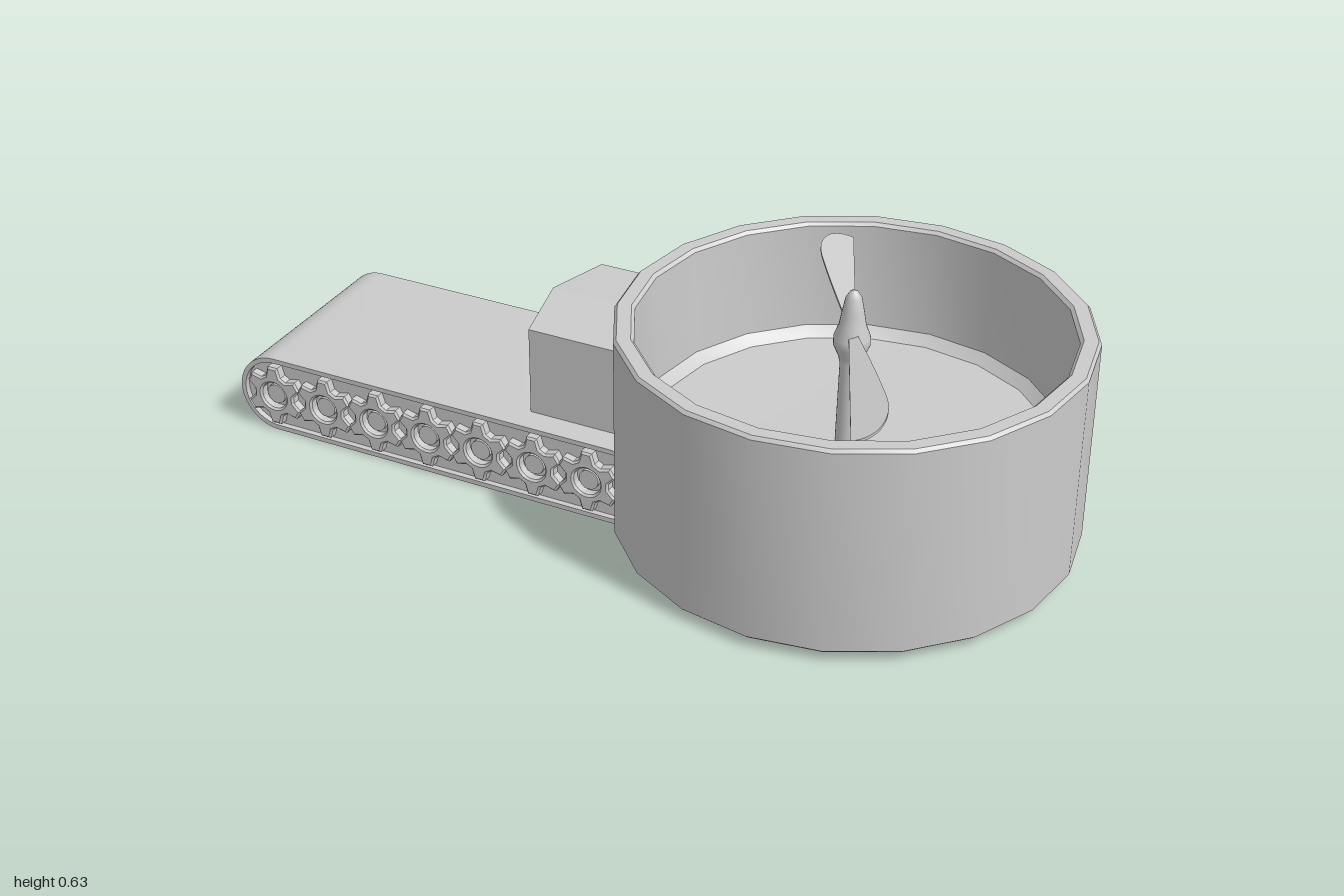
import * as THREE from 'three';
import { toCreasedNormals } from 'three/addons/utils/BufferGeometryUtils.js';

const grey = new THREE.MeshStandardMaterial({ color: 0xcccccc });
const V2 = (x, y) => new THREE.Vector2(x, y);

function add(parent, name, geometry, x = 0, y = 0, z = 0) {
  const mesh = new THREE.Mesh(geometry, grey);
  mesh.name = name;
  mesh.position.set(x, y, z);
  parent.add(mesh);
  return mesh;
}

// Extrusion centred on z
function slab(shape, depth, bevel = 0) {
  const g = new THREE.ExtrudeGeometry(shape, {
    depth: depth - 2 * bevel, curveSegments: 14, bevelEnabled: bevel > 0,
    bevelSize: bevel, bevelThickness: bevel, bevelOffset: -bevel, bevelSegments: 1,
  });
  g.translate(0, 0, -depth / 2 + bevel);
  return toCreasedNormals(g, 0.6);
}

// Long outline with round ends
function stadium(length, r, target = new THREE.Shape()) {
  const end = length - 0.1025;
  target.absarc(0.1025, 0.1025, r, Math.PI / 2, Math.PI * 1.5);
  target.absarc(end, 0.1025, r, -Math.PI / 2, Math.PI / 2);
  target.closePath();
  return target;
}

// Six-toothed wheel with a round hole
function gearShape() {
  const pts = [];
  for (let i = 0; i < 6; i++) {
    const mid = Math.PI / 2 + i * Math.PI / 3;
    for (const [a, r] of [[-0.38, 0.058], [-0.17, 0.082], [0.17, 0.082], [0.38, 0.058]])
      pts.push(V2(r * Math.cos(mid + a), r * Math.sin(mid + a)));
  }
  const shape = new THREE.Shape(pts);
  shape.holes.push(new THREE.Path().absarc(0, 0, 0.036, 0, Math.PI * 2, true));
  return shape;
}

function createTrackBase() {
  const base = new THREE.Group();
  base.name = 'trackBase';
  const length = 1.15;

  // Belt shell around a slightly recessed core
  const belt = stadium(length, 0.1025);
  belt.holes.push(stadium(length, 0.09, new THREE.Path()));
  add(base, 'belt', slab(belt, 0.51));
  add(base, 'core', slab(stadium(length, 0.092), 0.48));

  // Rows of gear wheels on both sides
  const gear = slab(gearShape(), 0.035, 0.005);
  const hub = new THREE.CylinderGeometry(0.026, 0.026, 0.02, 16).rotateX(Math.PI / 2);
  for (const side of [-1, 1])
    for (let i = 0; i < 7; i++) {
      const x = 0.1025 + i * 0.148;
      add(base, 'wheelGear', gear, x, 0.1025, side * 0.247);
      add(base, 'wheelHub', hub, x, 0.1025, side * 0.242);
    }

  // Open hood: two thin walls and a shallow ridged roof
  for (const side of [-1, 1]) {
    add(base, 'hoodWall', new THREE.BoxGeometry(0.24, 0.23, 0.018), 0.92, 0.31, side * 0.177);
    const half = new THREE.Shape([
      V2(0.765, 0), V2(1.04, 0), V2(1.04, side * 0.186), V2(0.8, side * 0.186),
    ]);
    const roof = new THREE.ExtrudeGeometry(half, { depth: 0.02, bevelEnabled: false });
    roof.rotateX(Math.PI / 2);
    const p = roof.attributes.position;
    for (let i = 0; i < p.count; i++) p.setY(i, p.getY(i) - Math.abs(p.getZ(i)) * 0.08);
    roof.computeVertexNormals();
    add(base, 'hoodRoof', roof, 0, 0.445, 0);
  }
  add(base, 'bench', new THREE.BoxGeometry(0.1, 0.07, 0.34), 0.99, 0.235, 0);
  return base;
}

function createPropeller() {
  const propeller = new THREE.Group();
  propeller.name = 'propeller';

  // Shaft and pointed spinner in one turned profile
  const profile = [[0.03, 0.2], [0.026, 0.44], [0.03, 0.46], [0.043, 0.49], [0.043, 0.51],
    [0.032, 0.54], [0.026, 0.575], [0.019, 0.61], [0.01, 0.625], [0, 0.63]];
  add(propeller, 'shaftAndSpinner',
    new THREE.LatheGeometry(profile.map(([r, y]) => V2(r, y)), 20));

  // Swept blades, pitched by tilting across the chord
  const shape = new THREE.Shape();
  shape.moveTo(0.012, 0.02);
  shape.lineTo(0.085, 0.465);
  shape.quadraticCurveTo(0.055, 0.48, 0.025, 0.455);
  shape.quadraticCurveTo(-0.016, 0.41, -0.016, 0.33);
  shape.quadraticCurveTo(-0.016, 0.2, -0.006, 0.02);
  const blade = new THREE.ExtrudeGeometry(shape, { depth: 0.007, bevelEnabled: false });
  blade.rotateX(-Math.PI / 2);
  const p = blade.attributes.position;
  for (let i = 0; i < p.count; i++) {
    const chord = p.getX(i) + 0.16 * p.getZ(i);
    p.setY(i, p.getY(i) - 0.3 * chord);
  }
  blade.computeVertexNormals();
  for (let i = 0; i < 2; i++)
    add(propeller, 'blade', blade, 0, 0.518, 0).rotation.y = i * Math.PI;
  return propeller;
}

export function createModel() {
  const model = new THREE.Group();
  model.name = 'tubWithTrackedArm';

  // Twenty-sided open tub with rounded rim and raised floor
  const profile = [[0, 0.02], [0.546, 0.02], [0.555, 0.028], [0.555, 0.537], [0.548, 0.545],
    [0.515, 0.545], [0.507, 0.537], [0.5, 0.265], [0.475, 0.24], [0, 0.235]];
  const tub = toCreasedNormals(
    new THREE.LatheGeometry(profile.map(([r, y]) => V2(r, y)), 20, 0.05), 0.65);
  add(model, 'tub', tub, 0.445, 0, 0.245);

  const propeller = createPropeller();
  propeller.position.set(0.44, 0, 0.245);
  model.add(propeller);

  // Tracked arm pointing out to the back right
  const base = createTrackBase();
  base.position.set(-0.86, 0, -0.59);
  base.rotation.y = -0.568;
  model.add(base);
  return model;
}
